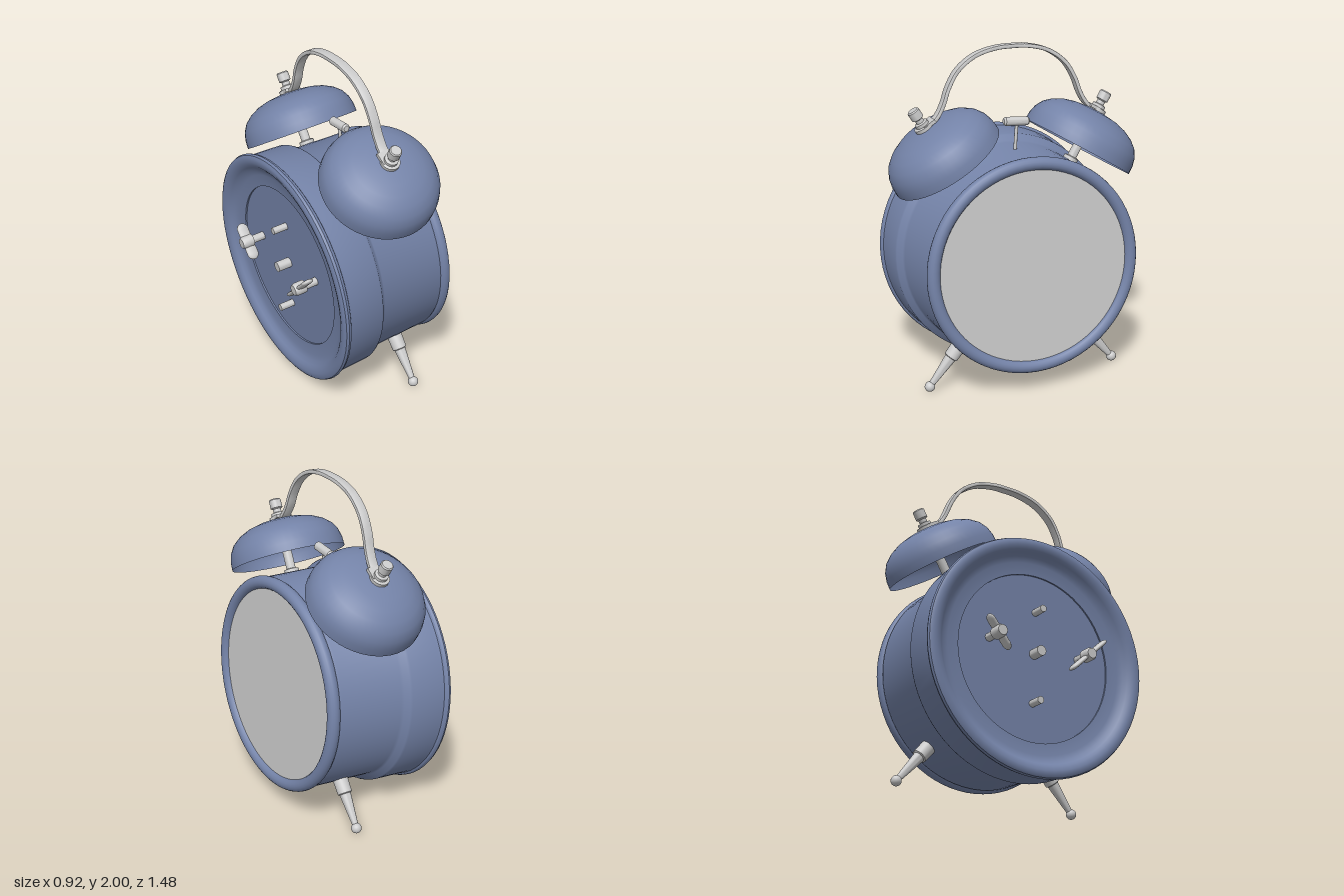
import * as THREE from 'three';
import { toCreasedNormals } from 'three/addons/utils/BufferGeometryUtils.js';

const AXIS_Y = 0.748;  // height of the case centre
const U = 0.055;       // plane of bells and handle along the case axis
const TILT = 0.07;     // backward lean of the whole clock

const blue = new THREE.MeshStandardMaterial({ color: 0x7483a8 });
const blueThin = new THREE.MeshStandardMaterial({ color: 0x7483a8, side: THREE.DoubleSide });
const grey = new THREE.MeshStandardMaterial({ color: 0xcccccc });

// Point in the leaning frame from a position along the axis, a height and z
const at = (u, y, z) => new THREE.Vector3(u, y - AXIS_Y - TILT * u, z);

function add(parent, name, geometry, material) {
  const mesh = new THREE.Mesh(geometry, material);
  mesh.name = name;
  parent.add(mesh);
  return mesh;
}

// Lathe from [radius, height] pairs, keeping sharp edges
function turned(points, segments = 48, crease = 0.6) {
  const profile = points.map(([r, h]) => new THREE.Vector2(r, h));
  return toCreasedNormals(new THREE.LatheGeometry(profile, segments), crease);
}

// Turn +y of an object onto the given direction
function aim(object, direction) {
  object.quaternion.setFromUnitVectors(new THREE.Vector3(0, 1, 0), direction.clone().normalize());
  return object;
}

function buildCase(clock) {
  // Drum with recessed back, rolled back rim and a waist step
  const drum = turned([
    [0, -0.335], [0.5, -0.335], [0.5, -0.345], [0.57, -0.35], [0.605, -0.362], [0.625, -0.38],
    [0.64, -0.392], [0.665, -0.402], [0.69, -0.402], [0.705, -0.393], [0.711, -0.378],
    [0.705, -0.362], [0.695, -0.355], [0.692, -0.335], [0.686, -0.14], [0.68, -0.128],
    [0.65, -0.105], [0.641, -0.09], [0.632, 0.3], [0.62, 0.33], [0, 0.33],
  ], 72).rotateZ(-Math.PI / 2);
  add(clock, 'case', drum, blue);

  const bezel = new THREE.TorusGeometry(0.607, 0.038, 16, 72).rotateY(Math.PI / 2);
  add(clock, 'bezel', bezel, blue).position.x = 0.345;

  const face = new THREE.CylinderGeometry(0.585, 0.585, 0.02, 64).rotateZ(-Math.PI / 2);
  add(clock, 'face', face, grey).position.x = 0.345;
}

function buildBell(clock, side) {
  const bell = new THREE.Group();
  bell.name = side > 0 ? 'leftBell' : 'rightBell';
  bell.position.copy(at(U, 1.357, side * 0.405));
  aim(bell, new THREE.Vector3(0, 0.85, side * 0.526));
  clock.add(bell);

  const dome = turned([
    [0.347, 0], [0.345, 0.05], [0.333, 0.098], [0.305, 0.145], [0.262, 0.182],
    [0.205, 0.211], [0.14, 0.229], [0.07, 0.238], [0, 0.24],
  ], 48, 1);
  add(bell, 'bellDome', dome, blueThin);

  // Post through the bell, foot collar and the finial on top
  const post = turned([[0, -0.1], [0.045, -0.1], [0.045, -0.07], [0.028, -0.065], [0.028, 0.24], [0, 0.24]], 20);
  add(bell, 'bellPost', post, grey);
  const finial = turned([
    [0, 0.235], [0.056, 0.235], [0.056, 0.258], [0.04, 0.262], [0.04, 0.28], [0.024, 0.285],
    [0.024, 0.305], [0.036, 0.312], [0.036, 0.36], [0.03, 0.367], [0, 0.367],
  ], 24);
  add(bell, 'finial', finial, grey);
}

function buildHandle(clock) {
  // Flat strap: centreline offset both ways, then extruded across its width
  const half = [[0.53, 1.574], [0.475, 1.603], [0.445, 1.64], [0.415, 1.7], [0.39, 1.77],
    [0.33, 1.87], [0.225, 1.948], [0.1, 1.983]];
  const line = [...half, [0, 1.988], ...half.slice().reverse().map(([z, y]) => [-z, y])];
  const curve = new THREE.CatmullRomCurve3(line.map(([z, y]) => new THREE.Vector3(-z, y, 0)));
  const outer = [], inner = [];
  const n = 64, t = 0.006;
  for (let i = 0; i <= n; i++) {
    const p = curve.getPoint(i / n), d = curve.getTangent(i / n);
    outer.push(new THREE.Vector2(p.x - d.y * t, p.y + d.x * t));
    inner.push(new THREE.Vector2(p.x + d.y * t, p.y - d.x * t));
  }
  const strap = new THREE.ExtrudeGeometry(new THREE.Shape([...outer, ...inner.reverse()]), {
    depth: 0.048, bevelEnabled: true, bevelSize: 0.006, bevelThickness: 0.006, bevelSegments: 2,
  });
  strap.translate(0, 0, -0.024).rotateY(Math.PI / 2);
  const handle = add(clock, 'handle', toCreasedNormals(strap, 0.7), grey);
  handle.position.copy(at(U, 0, 0));

  // Wider plates where the strap is bolted on
  for (const side of [-1, 1]) {
    const plate = add(clock, 'handleFoot', new THREE.BoxGeometry(0.1, 0.02, 0.075), grey);
    aim(plate, new THREE.Vector3(0, 0.85, side * 0.526));
    plate.position.copy(at(U, 1.588, side * 0.512));
  }
}

function buildHammer(clock) {
  const arm = new THREE.CatmullRomCurve3([at(0.08, 1.36, 0), at(0.08, 1.45, -0.008), at(0.08, 1.55, -0.018)]);
  add(clock, 'hammerArm', new THREE.TubeGeometry(arm, 8, 0.01, 10), grey);
  const head = turned([
    [0, -0.078], [0.017, -0.078], [0.026, -0.068], [0.026, 0.068], [0.017, 0.078], [0, 0.078],
  ], 20);
  const hammer = add(clock, 'hammerHead', head, grey);
  hammer.position.copy(at(0.08, 1.555, -0.014));
  aim(hammer, new THREE.Vector3(0, 0.07, 1));
}

function buildLeg(clock, side) {
  const top = at(0.125, 0.29, side * 0.375), foot = at(0.12, 0.032, side * 0.587);
  const length = top.distanceTo(foot);
  const leg = new THREE.Group();
  leg.name = side > 0 ? 'leftLeg' : 'rightLeg';
  leg.position.copy(foot);
  aim(leg, top.clone().sub(foot));
  clock.add(leg);
  add(leg, 'legShaft', turned([
    [0, 0], [0.016, 0], [0.034, length - 0.125], [0.043, length - 0.12], [0.046, length], [0, length],
  ], 24), grey);
  add(leg, 'footBall', new THREE.SphereGeometry(0.031, 24, 16), grey);
}

function buildControls(clock) {
  // Pins: [height, z, radius, tip]
  for (const [y, z, r, tip] of [[1.0, 0, 0.021, 0.425], [0.745, 0, 0.03, 0.42], [0.45, 0, 0.021, 0.425]]) {
    const pin = new THREE.CylinderGeometry(r, r, tip - 0.33, 20).rotateZ(Math.PI / 2);
    const p = at(0, y + 0.0, z);
    add(clock, 'settingPin', toCreasedNormals(pin, 0.6), grey).position.set(-(tip + 0.33) / 2, p.y + 0.025, z);
  }
  // Winding keys: [z, half span, wing angle]
  for (const [z, span, angle] of [[0.3, 0.165, 0.8], [-0.3, 0.115, -0.7]]) {
    const key = new THREE.Group();
    key.name = 'windingKey';
    key.position.set(0, 0.055, z);
    key.rotation.x = angle;
    clock.add(key);
    const hub = turned([
      [0, 0.33], [0.024, 0.33], [0.024, 0.41], [0.038, 0.415], [0.038, 0.47], [0.03, 0.487], [0, 0.487],
    ], 20).rotateZ(Math.PI / 2);
    add(key, 'keyHub', hub, grey);
    for (const s of [-1, 1]) {
      const wing = new THREE.CapsuleGeometry(0.036, span - 0.08, 8, 16).scale(1, 1, 0.4);
      add(key, 'keyWing', wing, grey).position.set(-0.443, s * (span / 2 + 0.004), 0);
    }
  }
}

export function createModel() {
  const model = new THREE.Group();
  model.name = 'alarmClock';
  const clock = new THREE.Group();
  clock.name = 'leaningClock';
  clock.position.set(0.03, AXIS_Y, 0);
  clock.rotation.z = TILT;
  model.add(clock);

  buildCase(clock);
  for (const side of [1, -1]) {
    buildBell(clock, side);
    buildLeg(clock, side);
  }
  buildHandle(clock);
  buildHammer(clock);
  buildControls(clock);
  return model;
}
